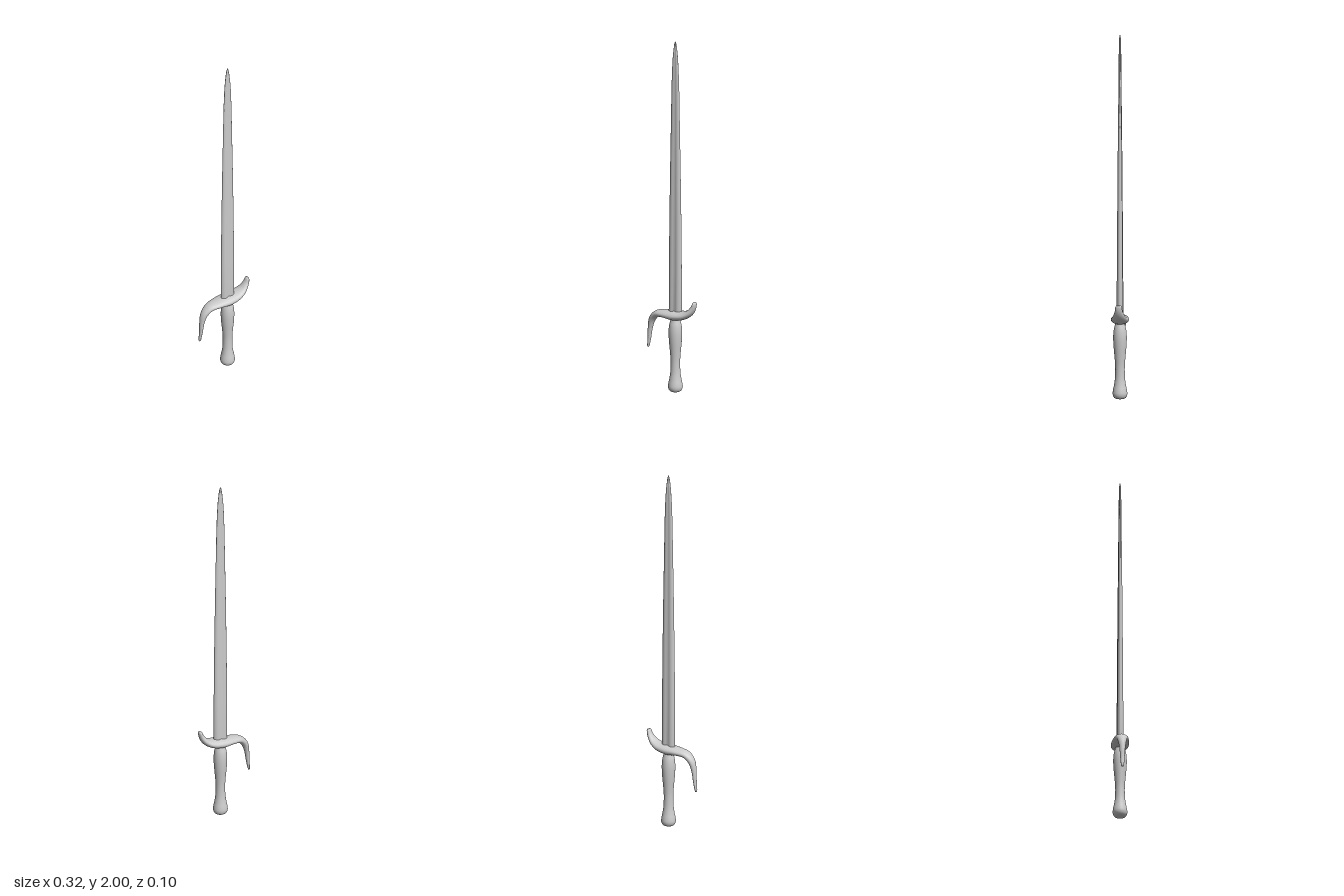
import * as THREE from 'three';

const CENTRE_X = 0.022;
const material = new THREE.MeshStandardMaterial({ color: 0xcccccc });

// Skins a list of rings (arrays of Vector3, counter-clockwise about the path) and caps both ends
function loft(rings) {
  const n = rings[0].length;
  const positions = [];
  const index = [];
  rings.forEach((ring) => ring.forEach((p) => positions.push(p.x, p.y, p.z)));
  for (let i = 0; i < rings.length - 1; i++) {
    for (let j = 0; j < n; j++) {
      const k = (j + 1) % n;
      const a = i * n + j, b = i * n + k, c = a + n, d = b + n;
      index.push(a, b, d, a, d, c);
    }
  }
  [0, rings.length - 1].forEach((r) => {
    const mid = rings[r].reduce((s, p) => s.add(p), new THREE.Vector3()).divideScalar(n);
    const m = positions.length / 3;
    positions.push(mid.x, mid.y, mid.z);
    for (let j = 0; j < n; j++) {
      const a = r * n + j, b = r * n + ((j + 1) % n);
      if (r === 0) index.push(m, b, a);
      else index.push(m, a, b);
    }
  });
  const geometry = new THREE.BufferGeometry();
  geometry.setAttribute('position', new THREE.Float32BufferAttribute(positions, 3));
  geometry.setIndex(index);
  geometry.computeVertexNormals();
  return geometry;
}

function addPart(group, name, geometry) {
  const mesh = new THREE.Mesh(geometry, material);
  mesh.name = name;
  group.add(mesh);
  return mesh;
}

// Tapered blade with rounded edges and a shallow groove down each face
function bladeGeometry() {
  const half = [[1, 0], [0.9, 0.42], [0.72, 0.8], [0.5, 1], [0.28, 0.92], [0, 0.7],
    [-0.28, 0.92], [-0.5, 1], [-0.72, 0.8], [-0.9, 0.42]];
  const section = [...half, ...half.map(([x, z]) => [-x, -z])];
  // height, half width, half thickness
  const stations = [[0.43, 0.043, 0.018], [0.7, 0.042, 0.016], [1.0, 0.039, 0.014],
    [1.3, 0.034, 0.012], [1.55, 0.029, 0.009], [1.75, 0.025, 0.008], [1.85, 0.021, 0.007],
    [1.91, 0.017, 0.006], [1.96, 0.011, 0.005], [1.985, 0.007, 0.004], [2.0, 0.002, 0.001]];
  return loft(stations.map(([y, w, t]) =>
    section.map(([x, z]) => new THREE.Vector3(CENTRE_X + x * w, y, -z * t))));
}

// S-shaped guard: an elliptical section swept from the drooping arm to the raised arm
function guardGeometry() {
  // x, y, half height, half depth
  const stations = [[-0.157, 0.225, 0.006, 0.008], [-0.149, 0.28, 0.009, 0.012],
    [-0.143, 0.34, 0.013, 0.016], [-0.128, 0.393, 0.018, 0.024], [-0.095, 0.426, 0.019, 0.033],
    [-0.045, 0.435, 0.021, 0.043], [0.022, 0.437, 0.027, 0.049], [0.08, 0.447, 0.023, 0.044],
    [0.117, 0.468, 0.018, 0.033], [0.14, 0.5, 0.014, 0.021], [0.15, 0.532, 0.009, 0.017]];
  const path = new THREE.CatmullRomCurve3(stations.map(([x, y]) => new THREE.Vector3(x, y, 0)));
  const size = new THREE.CatmullRomCurve3(stations.map(([, , h, d]) => new THREE.Vector3(h, d, 0)));
  const steps = 50, sides = 24;
  const rings = [];
  for (let i = 0; i <= steps; i++) {
    const p = path.getPoint(i / steps);
    const t = path.getTangent(i / steps);
    const s = size.getPoint(i / steps);
    // the ends close in quickly to round them off
    const end = i === 0 || i === steps ? 0.75 : 1;
    rings.push(Array.from({ length: sides }, (_, j) => {
      const a = (j / sides) * Math.PI * 2;
      const u = Math.cos(a) * s.x * end;
      return new THREE.Vector3(p.x - t.y * u, p.y + t.x * u, Math.sin(a) * s.y * end);
    }));
  }
  return loft(rings);
}

// Turned grip swelling below the guard and ending in a rounded pommel
function handleGeometry() {
  const points = [[0.001, 0], [0.022, 0.003], [0.034, 0.011], [0.04, 0.028], [0.038, 0.05],
    [0.032, 0.08], [0.027, 0.12], [0.026, 0.18], [0.03, 0.235], [0.035, 0.29], [0.037, 0.34],
    [0.034, 0.38], [0.027, 0.41], [0.022, 0.435]];
  const curve = new THREE.SplineCurve(points.map(([r, y]) => new THREE.Vector2(r, y)));
  return new THREE.LatheGeometry(curve.getPoints(52), 32);
}

export function createModel() {
  const group = new THREE.Group();
  group.name = 'dagger';
  addPart(group, 'blade', bladeGeometry());
  addPart(group, 'guard', guardGeometry());
  addPart(group, 'handle', handleGeometry()).position.x = CENTRE_X;
  return group;
}
